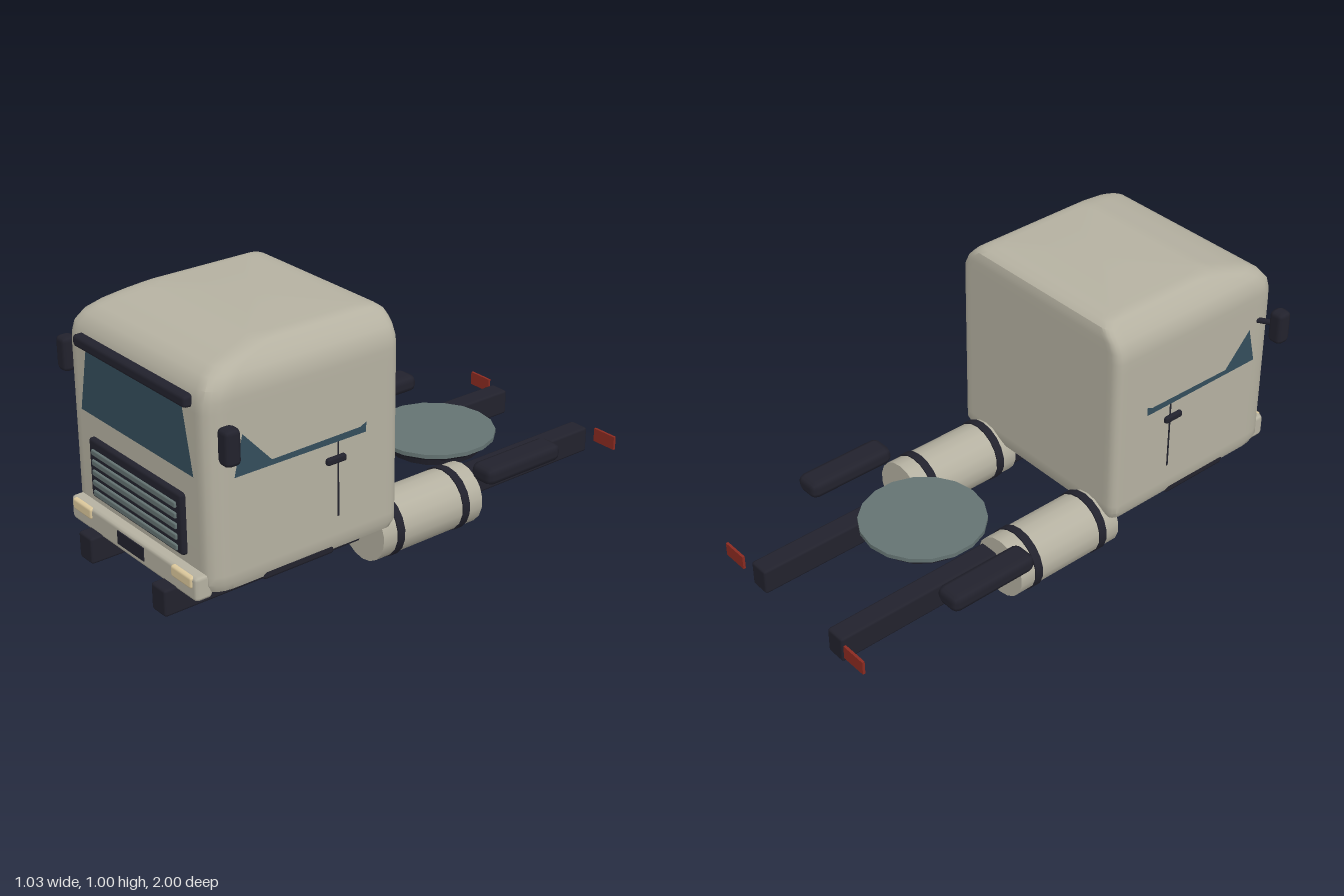
import * as THREE from 'three';
import { toCreasedNormals } from 'three/addons/utils/BufferGeometryUtils.js';
import { RoundedBoxGeometry } from 'three/addons/geometries/RoundedBoxGeometry.js';

const material = (name, color, side = THREE.FrontSide) => {
  const m = new THREE.MeshStandardMaterial({ color, side });
  m.name = name;
  return m;
};

// Cab shell: rounded-rectangle sections [y, halfWidth, backZ, frontZ] stacked upwards
function cabGeometry() {
  const levels = [
    [0.165, 0.385, 0.15, 0.88], [0.18, 0.408, 0.13, 0.9], [0.21, 0.42, 0.12, 0.91], [0.24, 0.42, 0.12, 0.91],
    [0.82, 0.42, 0.12, 0.91], [0.86, 0.42, 0.12, 0.908], [0.9, 0.417, 0.12, 0.897], [0.935, 0.4, 0.12, 0.87],
    [0.957, 0.38, 0.121, 0.83], [0.977, 0.361, 0.126, 0.75], [0.992, 0.342, 0.145, 0.68],
    [0.998, 0.325, 0.18, 0.655], [1.0, 0.3, 0.21, 0.63],
  ];
  // corners in order of angle: [x sign, z sign, x radius, z radius]
  const corners = [[1, 1, 0.05, 0.08], [-1, 1, 0.05, 0.08], [-1, -1, 0.035, 0.035], [1, -1, 0.035, 0.035]];
  const steps = 4, ext = 0.02, pos = [], index = [];
  for (const [y, w, zb, zf] of levels) {
    corners.forEach(([sx, sz, rx, rz], c) => {
      const cx = sx * (w - rx), cz = sz > 0 ? zf - rz : zb + rz;
      for (let k = -1; k <= steps + 1; k++) {
        const a = (c + Math.min(Math.max(k / steps, 0), 1)) * Math.PI / 2;
        let x = cx + rx * Math.cos(a), z = cz + rz * Math.sin(a);
        // one extra point on each neighbouring flat keeps the flats flat
        if (k < 0 || k > steps) {
          const onSide = (k < 0) === (c % 2 === 0);
          if (onSide) z -= sz * ext; else x -= sx * ext;
        }
        pos.push(x, y, z);
      }
    });
  }
  const n = 4 * (steps + 3), last = (levels.length - 1) * n;
  const bottom = pos.length / 3, top = bottom + 1;
  pos.push(0, levels[0][0], 0.5, 0, 1, 0.42);
  for (let i = 0; i < n; i++) {
    const k = (i + 1) % n;
    for (let j = 0; j < last; j += n) index.push(j + i, j + n + i, j + k, j + k, j + n + i, j + n + k);
    index.push(bottom, i, k, top, last + k, last + i);
  }
  const g = new THREE.BufferGeometry();
  g.setAttribute('position', new THREE.Float32BufferAttribute(pos, 3));
  g.setIndex(index);
  return toCreasedNormals(g, 0.6);
}

const flatShape = (points) => new THREE.ShapeGeometry(new THREE.Shape(points.map(([x, y]) => new THREE.Vector2(x, y))));

export function createModel() {
  const truck = new THREE.Group();
  truck.name = 'tractorTruck';
  const paint = material('cab paint', 0xb5b1a1);
  const dark = material('dark trim', 0x22222d);
  const glass = material('window glass', 0x344e5c, THREE.DoubleSide);
  const steel = material('grey steel', 0x647372);
  const lamp = material('headlight cream', 0xdcc89c);
  const red = material('tail light red', 0x8a2a20);

  const add = (name, geometry, mat, x = 0, y = 0, z = 0) => {
    const m = new THREE.Mesh(geometry, mat);
    m.name = name;
    m.position.set(x, y, z);
    truck.add(m);
    return m;
  };
  // box given by its limits on each axis, with softened edges when r > 0
  const block = (name, mat, [x0, x1], [y0, y1], [z0, z1], r = 0) => {
    const s = [x1 - x0, y1 - y0, z1 - z0];
    const g = r ? new RoundedBoxGeometry(...s, 1, r) : new THREE.BoxGeometry(...s);
    return add(name, g, mat, (x0 + x1) / 2, (y0 + y1) / 2, (z0 + z1) / 2);
  };
  const mirrored = (s, [a, b]) => (s > 0 ? [a, b] : [-b, -a]);
  const rod = (name, mat, radius, z0, z1, x, y) => {
    const g = new THREE.CylinderGeometry(radius, radius, z1 - z0, 18).rotateX(Math.PI / 2);
    return add(name, g, mat, x, y, (z0 + z1) / 2);
  };

  // Cab front
  add('cab', cabGeometry(), paint);
  add('windshield', flatShape([[-0.337, 0.59], [0.337, 0.59], [0.283, 0.84], [-0.283, 0.84]]), glass, 0, 0, 0.914);
  block('sunVisor', dark, [-0.335, 0.335], [0.832, 0.876], [0.888, 0.937], 0.014);
  block('grilleFrame', dark, [-0.28, 0.28], [0.28, 0.508], [0.895, 0.93], 0.012);
  for (let i = 0; i < 5; i++) {
    const y = 0.305 + i * 0.0393;
    block('grilleSlat', steel, [-0.255, 0.255], [y - 0.011, y + 0.011], [0.92, 0.938], 0.005);
  }
  block('bumper', paint, [-0.385, 0.385], [0.16, 0.25], [0.885, 0.953], 0.014);
  block('numberPlate', dark, [-0.08, 0.08], [0.185, 0.236], [0.95, 0.957]);

  // Coupling plate on its pedestal
  add('couplingPlate', new THREE.CylinderGeometry(0.235, 0.235, 0.016, 18), steel, 0, 0.23, -0.42);
  add('couplingRim', new THREE.CylinderGeometry(0.233, 0.21, 0.018, 18), dark, 0, 0.213, -0.42);
  add('couplingPedestal', new THREE.CylinderGeometry(0.19, 0.18, 0.036, 18), dark, 0, 0.187, -0.42);

  // Parts on both sides
  for (const s of [1, -1]) {
    const side = (name, mat, x, y, z, r) => block(name, mat, mirrored(s, x), y, z, r);
    side('chassisRail', dark, [0.186, 0.268], [0.068, 0.17], [-0.985, 1], 0.01);
    side('headlight', lamp, [0.245, 0.366], [0.205, 0.249], [0.935, 0.96], 0.01);
    side('tailLight', red, [0.3, 0.405], [0.122, 0.176], [-1, -0.99]);
    side('fender', dark, [0.353, 0.46], [0.207, 0.276], [-0.645, -0.28], 0.026);
    side('step', dark, [0.33, 0.414], [0.165, 0.212], [0.4, 0.7], 0.012);
    side('doorHandle', dark, [0.41, 0.435], [0.514, 0.54], [0.36, 0.442], 0.008);
    side('doorSeam', dark, [0.417, 0.4225], [0.31, 0.59], [0.386, 0.392]);

    // Mirror and its arm
    side('mirror', dark, [0.452, 0.513], [0.678, 0.808], [0.843, 0.903], 0.018);
    const arm = new THREE.LineCurve3(new THREE.Vector3(s * 0.4, 0.757, 0.815), new THREE.Vector3(s * 0.465, 0.75, 0.865));
    add('mirrorArm', new THREE.TubeGeometry(arm, 1, 0.011, 8), dark);

    // Side window: quarter light running into a slim strip
    const pane = flatShape([[0.815, 0.59], [0.78, 0.735], [0.665, 0.61], [0.295, 0.615], [0.27, 0.627], [0.27, 0.59]]);
    add('sideWindow', pane.rotateY(-Math.PI / 2), glass, s * 0.4235);

    // Fuel tank with straps
    rod('fuelTank', paint, 0.117, -0.3, 0.17, s * 0.287, 0.122);
    for (const z of [-0.235, 0.075]) rod('tankStrap', dark, 0.122, z, z + 0.032, s * 0.287, 0.122);
  }
  return truck;
}
